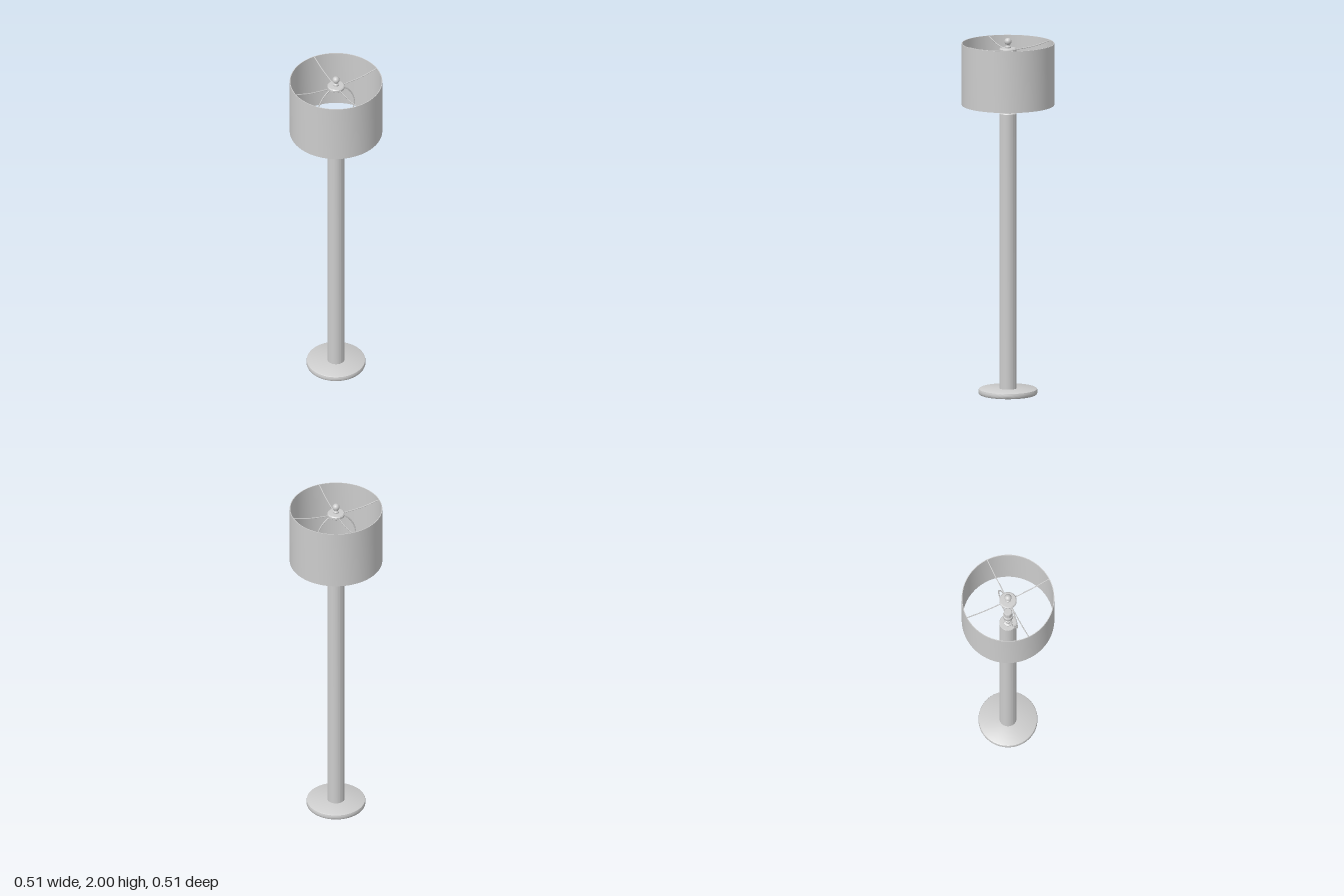
import * as THREE from 'three';
import { toCreasedNormals } from 'three/addons/utils/BufferGeometryUtils.js';

export function createModel() {
  const lamp = new THREE.Group();
  lamp.name = 'floorLamp';
  const grey = new THREE.MeshStandardMaterial({ color: 0xcccccc });
  grey.name = 'plain grey';

  const add = (name, geometry, parent = lamp) => {
    const mesh = new THREE.Mesh(geometry, grey);
    mesh.name = name;
    parent.add(mesh);
    return mesh;
  };
  // Turned part from [radius, height] pairs, listed from bottom to top
  const turned = (name, profile, sides = 48) => add(name, toCreasedNormals(
    new THREE.LatheGeometry(profile.map(([r, y]) => new THREE.Vector2(r, y)), sides), 0.6));
  // Bent wire in the x-y plane
  const wire = (name, points, radius, parent) => add(name, new THREE.TubeGeometry(
    new THREE.CatmullRomCurve3(points.map(([x, y]) => new THREE.Vector3(x, y, 0))), 24, radius, 8), parent);

  // Foot and column
  turned('base', [[0, 0], [0.156, 0], [0.161, 0.004], [0.163, 0.01], [0.163, 0.024],
    [0.161, 0.03], [0.156, 0.033], [0, 0.034]], 64);
  turned('pole', [[0.048, 0.03], [0.048, 1.576], [0.045, 1.58], [0, 1.58]]);

  // Neck and lamp holder
  turned('neck', [[0.024, 1.58], [0.024, 1.587], [0.014, 1.592], [0.014, 1.625], [0.022, 1.63],
    [0.022, 1.64], [0.014, 1.645], [0.014, 1.66]], 32);
  turned('socket', [[0, 1.655], [0.018, 1.655], [0.028, 1.672], [0.028, 1.7], [0.023, 1.705],
    [0.023, 1.75], [0.019, 1.755], [0, 1.755]], 32);

  // Drum shade with a thin wall, closed around the rims
  turned('shade', [[0.252, 1.625], [0.256, 1.625], [0.256, 1.97], [0.252, 1.97], [0.252, 1.625]], 64);

  // Shade frame, turned slightly about the column
  const frame = new THREE.Group();
  frame.name = 'shadeFrame';
  frame.rotation.y = -0.345;
  lamp.add(frame);
  for (let i = 0; i < 4; i++) {
    const spoke = wire('spoke', [[0.04, 1.932], [0.1, 1.936], [0.17, 1.945], [0.22, 1.958], [0.253, 1.966]], 0.003, frame);
    spoke.rotation.y = i * Math.PI / 2;
  }
  // Harp carrying the frame from the socket
  for (const turn of [1, -1]) {
    const harp = wire('harp', [[0, 1.65], [0.035, 1.652], [0.058, 1.668], [0.075, 1.7], [0.105, 1.745],
      [0.115, 1.79], [0.1, 1.85], [0.065, 1.9], [0.025, 1.926], [0, 1.928]], 0.0035, frame);
    harp.rotation.y = turn * Math.PI / 2;
    const ferrule = add('harpFerrule', new THREE.CylinderGeometry(0.006, 0.006, 0.025, 12), frame);
    ferrule.position.set(0, 1.682, turn * 0.065);
    ferrule.rotation.x = turn * 0.45;
  }

  // Hub and finial
  turned('hub', [[0, 1.922], [0.044, 1.922], [0.048, 1.926], [0.048, 1.938], [0.043, 1.943], [0, 1.945]], 40);
  turned('finialStem', [[0.016, 1.943], [0.016, 1.952], [0.01, 1.957], [0.01, 1.972]], 24);
  add('finialBall', new THREE.SphereGeometry(0.02, 24, 16)).position.y = 1.98;

  return lamp;
}
